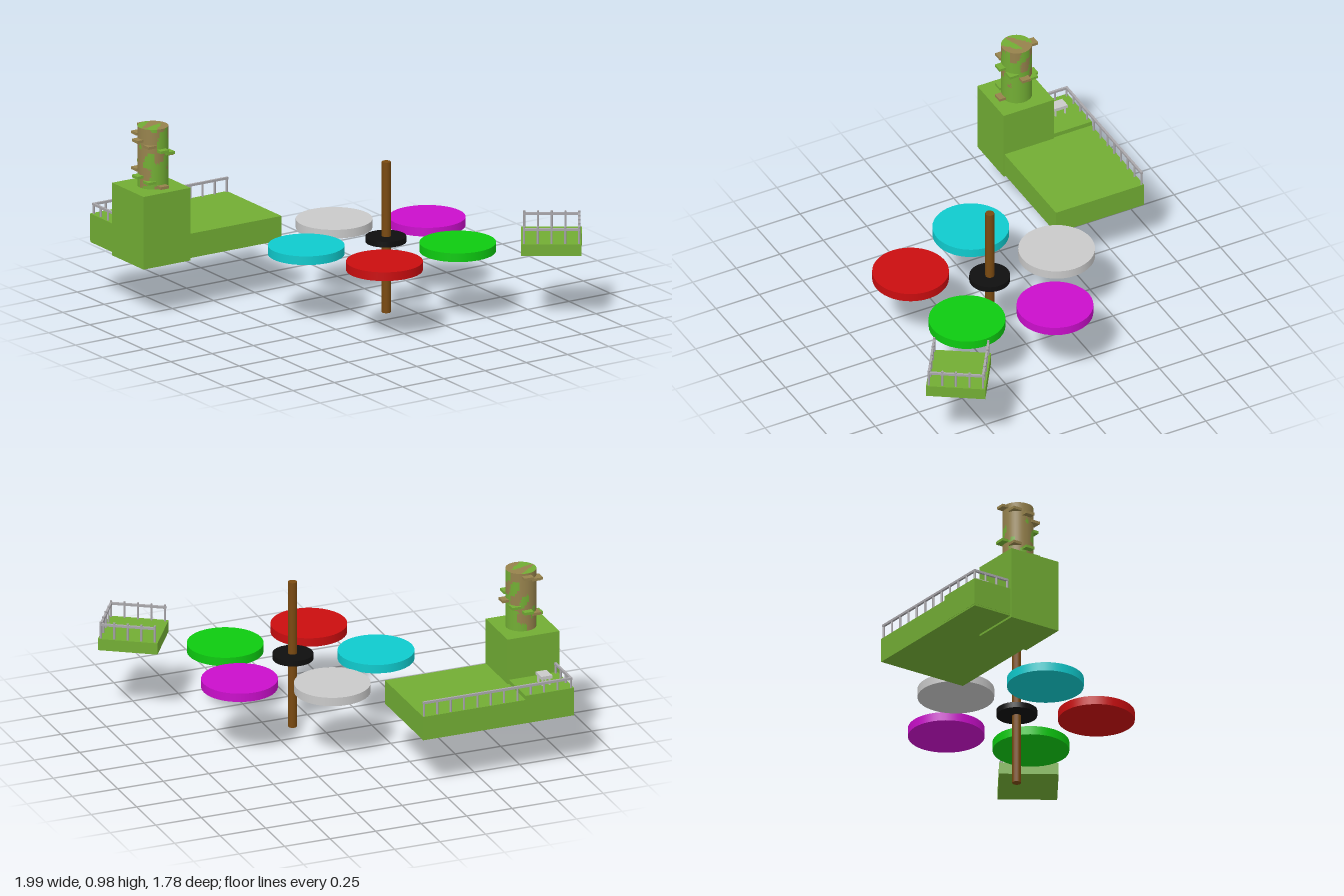
import * as THREE from 'three';
import { toCreasedNormals } from 'three/addons/utils/BufferGeometryUtils.js';

const mat = (name, color) => {
  const m = new THREE.MeshStandardMaterial({ color });
  m.name = name;
  return m;
};

export function createModel() {
  const model = new THREE.Group();
  const grass = mat('grass green', 0x72ad34);
  const bark = mat('bark brown', 0x96824c);
  const wood = mat('pole brown', 0x7a4a10);
  const black = mat('black', 0x0f0f0f);
  const white = mat('pale grey', 0xc9c9c9);
  const steel = mat('railing grey', 0xa9a7ab);
  const magenta = mat('magenta', 0xca0ecb);
  const green = mat('bright green', 0x0dca10);
  const red = mat('red', 0xca0d0f);
  const cyan = mat('cyan', 0x0fcacd);

  const add = (name, geo, material, x, y, z, parent = model) => {
    const mesh = new THREE.Mesh(geo, material);
    mesh.name = name;
    mesh.position.set(x, y, z);
    parent.add(mesh);
    return mesh;
  };
  // box given by its limits on each axis
  const block = (name, m, x0, x1, y0, y1, z0, z1, parent) =>
    add(name, new THREE.BoxGeometry(x1 - x0, y1 - y0, z1 - z0), m,
      (x0 + x1) / 2, (y0 + y1) / 2, (z0 + z1) / 2, parent);
  const disc = (name, m, r, y0, y1, x, z, sides = 40) =>
    add(name, new THREE.CylinderGeometry(r, r, y1 - y0, sides), m, x, (y0 + y1) / 2, z);

  // straight run of railing: evenly spaced posts and a top rail
  const railing = (name, parent, ax, az, bx, bz, foot, railY, postTop, gaps) => {
    const run = new THREE.Group();
    run.name = name;
    parent.add(run);
    const post = new THREE.CylinderGeometry(0.006, 0.006, postTop - foot, 8);
    for (let i = 0; i <= gaps; i++) {
      const t = i / gaps;
      add('railPost', post, steel, ax + (bx - ax) * t, (foot + postTop) / 2, az + (bz - az) * t, run);
    }
    const length = Math.hypot(bx - ax, bz - az) + 0.012;
    const rail = add('topRail', new THREE.BoxGeometry(length, 0.012, 0.012), steel,
      (ax + bx) / 2, railY, (az + bz) / 2, run);
    rail.rotation.y = -Math.atan2(bz - az, bx - ax);
  };

  // central pole with its hub and the ring of floating discs
  disc('pole', wood, 0.023, 0, 0.8, 0.126, 0.143, 12);
  disc('hub', black, 0.104, 0.375, 0.405, 0.124, 0.142);
  const pads = [
    ['paleDisc', white, 0.078, -0.267], ['magentaDisc', magenta, 0.492, -0.037],
    ['greenDisc', green, 0.384, 0.411], ['redDisc', red, -0.103, 0.476],
    ['cyanDisc', cyan, -0.287, 0.032],
  ];
  for (const [name, m, x, z] of pads) disc(name, m, 0.195, 0.352, 0.398, x, z);

  // large platform with raised corner, tower base and table
  block('largePlatform', grass, -0.988, -0.16, 0.291, 0.42, -0.895, -0.39);
  block('raisedCorner', grass, -0.989, -0.723, 0.3, 0.443, -0.896, -0.6);
  block('towerBase', grass, -1, -0.715, 0.28, 0.666, -0.675, -0.385);
  railing('backRailing', model, -0.975, -0.885, -0.168, -0.885, 0.42, 0.493, 0.495, 11);
  railing('sideRailing', model, -0.975, -0.885, -0.975, -0.685, 0.42, 0.493, 0.495, 3);
  block('tableTop', white, -0.9, -0.84, 0.48, 0.497, -0.82, -0.745);
  for (const x of [-0.89, -0.85]) for (const z of [-0.81, -0.755])
    block('tableLeg', white, x - 0.004, x + 0.004, 0.44, 0.485, z - 0.004, z + 0.004);

  // small turned platform, railed on three sides
  const small = new THREE.Group();
  small.name = 'smallPlatform';
  small.position.set(0.781, 0, 0.671);
  small.rotation.y = -0.585;
  model.add(small);
  block('smallDeck', grass, -0.154, 0.154, 0.37, 0.432, -0.151, 0.151, small);
  railing('smallRailing', small, -0.138, -0.138, 0.141, -0.138, 0.43, 0.507, 0.522, 4);
  railing('smallRailing', small, 0.141, -0.138, 0.141, 0.138, 0.43, 0.507, 0.522, 4);
  railing('smallRailing', small, 0.141, 0.138, -0.138, 0.138, 0.43, 0.507, 0.522, 4);

  // mossy trunk: faces sorted into bark and moss by a smooth wave pattern
  const R = 0.079, H = 0.317, profile = [];
  for (let i = 0; i <= 20; i++) profile.push(new THREE.Vector2(R, (H * i) / 20));
  for (let i = 5; i >= 0; i--) profile.push(new THREE.Vector2((R * i) / 6, H));
  const trunk = toCreasedNormals(new THREE.LatheGeometry(profile, 40), 0.6);
  const p = trunk.attributes.position, barkFaces = [], mossFaces = [];
  for (let i = 0; i < p.count; i += 3) {
    const mid = (a) => (p[a](i) + p[a](i + 1) + p[a](i + 2)) / 3;
    const x = mid('getX') / R, t = mid('getY') / H, z = mid('getZ') / R;
    const a = Math.atan2(x, z);
    const moss = t > 0.995
      ? -0.6 * x + 0.5 * Math.sin(5 * z + 3 * x) > 0.1
      : 0.45 * x + 0.35 * z - 0.9 * (t - 0.45) + 0.4 * Math.sin(3 * a + 9 * t) + 0.35 * Math.sin(5 * a - 14 * t) > 0;
    (moss ? mossFaces : barkFaces).push(i, i + 1, i + 2);
  }
  trunk.setIndex([...barkFaces, ...mossFaces]);
  trunk.addGroup(0, barkFaces.length, 0);
  trunk.addGroup(barkFaces.length, mossFaces.length, 1);
  add('trunk', trunk, [bark, grass], -0.848, 0.666, -0.53);

  // spiral of steps around the trunk, eight to a turn
  const straight = new THREE.BoxGeometry(0.05, 0.014, 0.05);
  for (let k = 0; k < 13; k++) {
    const a = (k * Math.PI) / 4;
    const reach = k % 2 ? 0.055 * Math.SQRT2 : 0.086;
    add('trunkStep', straight, k % 3 === 0 || k < 3 ? bark : grass,
      -0.848 - Math.sin(a) * reach, 0.965 - k * 0.0238, -0.53 - Math.cos(a) * reach);
  }
  return model;
}
